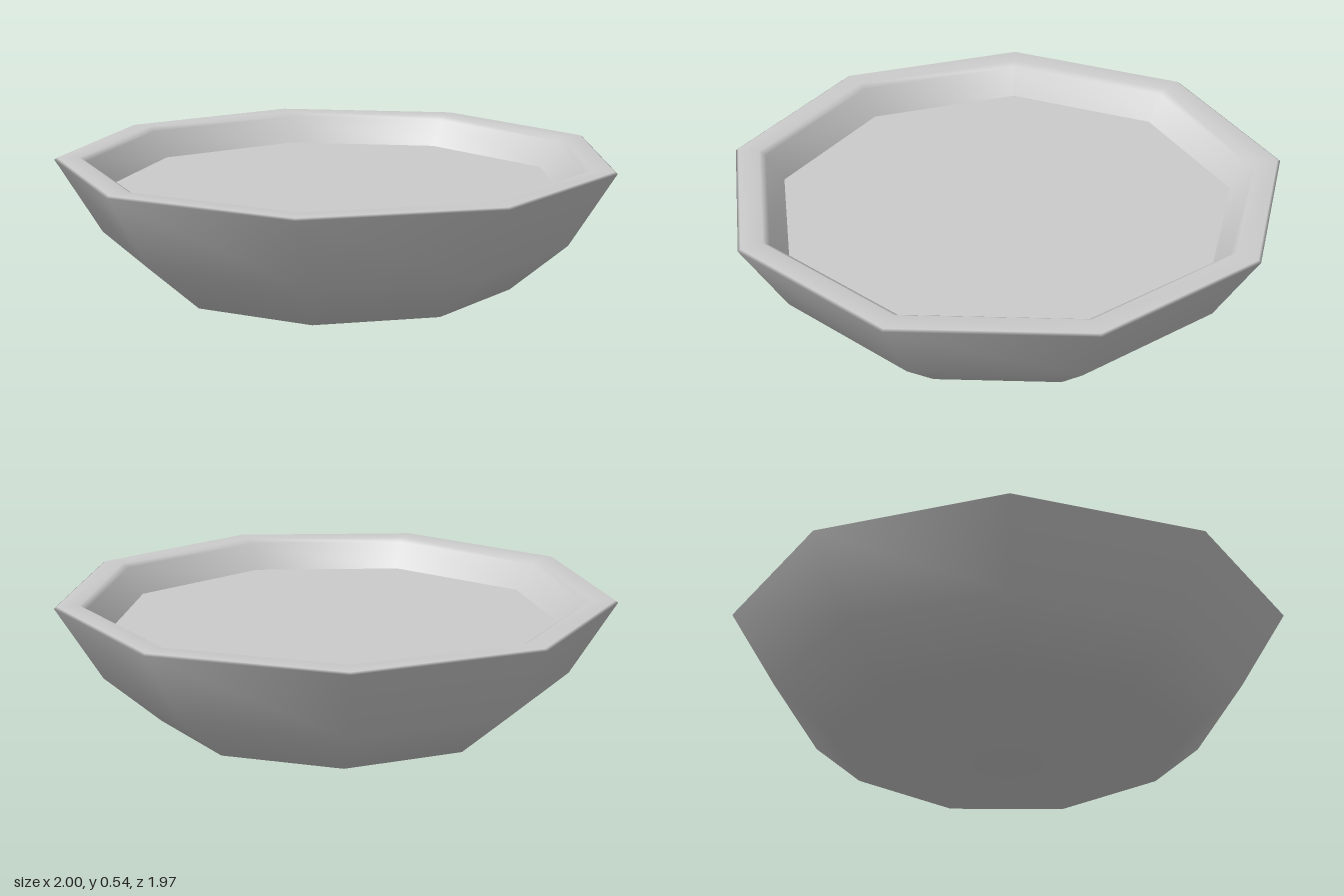
import * as THREE from 'three';

const SIDES = 9;

export function createModel() {
  const model = new THREE.Group();
  const material = new THREE.MeshStandardMaterial({ color: 0xcccccc });

  // Bowl: outside from the base point up, over the rim, down the inner wall
  const profile = [
    [0, 0.005], [0.645, 0.095], [0.85, 0.27], [1.0154, 0.538],
    [1.005, 0.545], [0.925, 0.545], [0.9, 0.53], [0.835, 0.435],
  ].map(([r, y]) => new THREE.Vector2(r, y));
  const bowl = new THREE.Mesh(new THREE.LatheGeometry(profile, SIDES, Math.PI), material);
  bowl.name = 'bowl';

  // Flat surface of the contents, meeting the inner wall
  const surface = new THREE.CircleGeometry(0.835, SIDES, Math.PI / 2);
  surface.rotateX(-Math.PI / 2);
  const contents = new THREE.Mesh(surface, material);
  contents.name = 'contents';
  contents.position.y = 0.435;

  // A corner points to the back, so the axis sits slightly forward
  const dish = new THREE.Group();
  dish.name = 'filledBowl';
  dish.position.z = 0.03;
  dish.add(bowl, contents);
  model.add(dish);
  return model;
}
